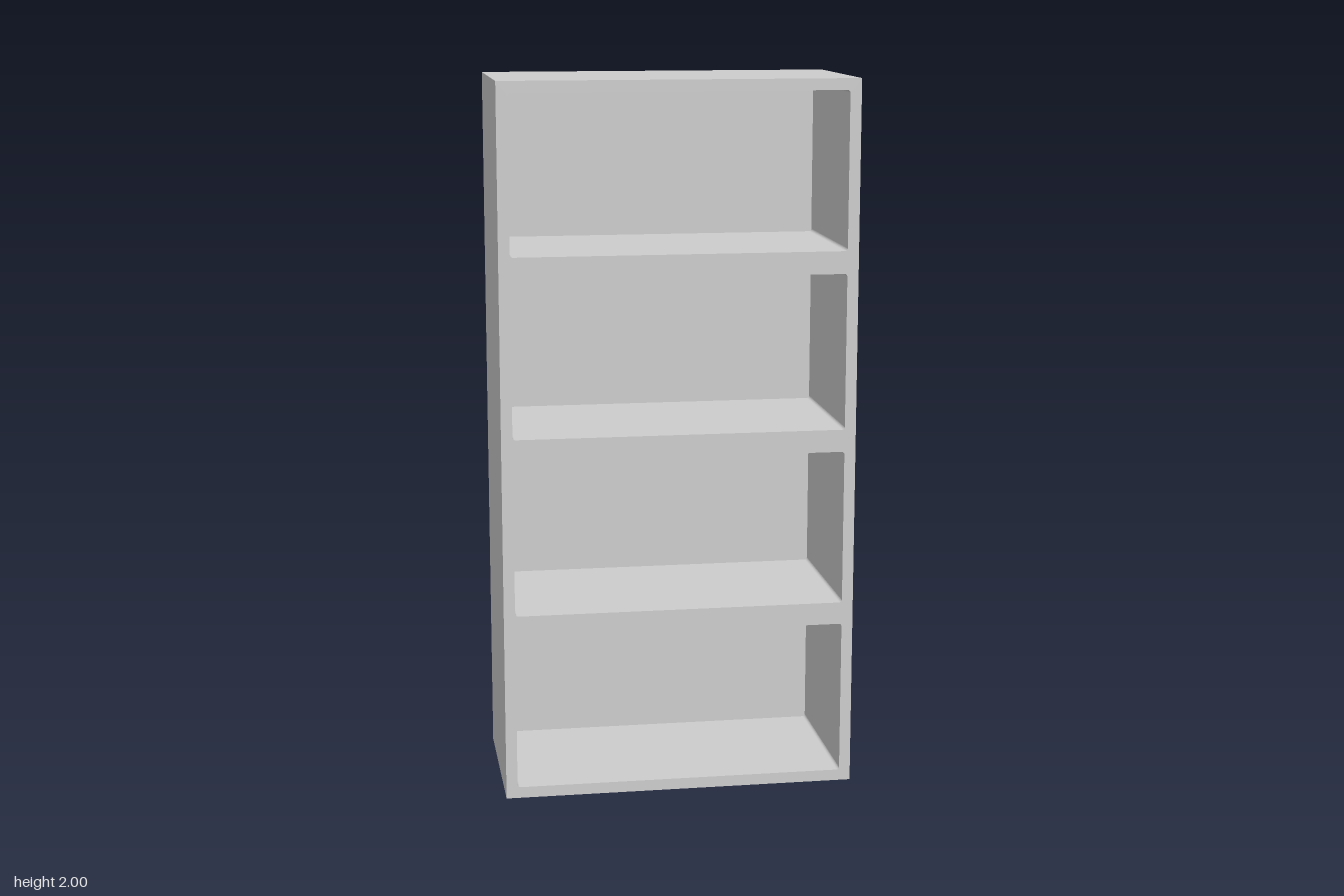
import * as THREE from 'three';

const WIDTH = 0.99, HEIGHT = 2, DEPTH = 0.495;
const BOARD = 0.0315; // margin round each opening
const BACK = 0.031;   // back panel thickness
const BAYS = 4;

// Rectangular opening with slightly rounded corners
function openingPath(x0, y0, x1, y1, r) {
  const p = new THREE.Path();
  p.moveTo(x0 + r, y0);
  p.lineTo(x1 - r, y0);
  p.absarc(x1 - r, y0 + r, r, -Math.PI / 2, 0, false);
  p.lineTo(x1, y1 - r);
  p.absarc(x1 - r, y1 - r, r, 0, Math.PI / 2, false);
  p.lineTo(x0 + r, y1);
  p.absarc(x0 + r, y1 - r, r, Math.PI / 2, Math.PI, false);
  p.lineTo(x0, y0 + r);
  p.absarc(x0 + r, y0 + r, r, Math.PI, Math.PI * 1.5, false);
  return p;
}

export function createModel() {
  const group = new THREE.Group();
  group.name = 'bookcase';
  const grey = new THREE.MeshStandardMaterial({ color: 0xcccccc });
  grey.name = 'light grey';

  // Frame: sides, top, base and shelves in one piece, pierced by the bays
  const w = WIDTH / 2;
  const outline = new THREE.Shape([
    new THREE.Vector2(-w, 0), new THREE.Vector2(w, 0),
    new THREE.Vector2(w, HEIGHT), new THREE.Vector2(-w, HEIGHT),
  ]);
  const pitch = HEIGHT / BAYS;
  for (let i = 0; i < BAYS; i++) {
    outline.holes.push(openingPath(
      -w + BOARD, i * pitch + BOARD, w - BOARD, (i + 1) * pitch - BOARD, 0.008));
  }
  const frame = new THREE.Mesh(new THREE.ExtrudeGeometry(outline, {
    depth: DEPTH - BACK, bevelEnabled: false, curveSegments: 4,
  }), grey);
  frame.name = 'shelfFrame';
  frame.position.z = -DEPTH / 2 + BACK;
  group.add(frame);

  // Back panel closing the bays
  const back = new THREE.Mesh(new THREE.BoxGeometry(WIDTH, HEIGHT, BACK), grey);
  back.name = 'backPanel';
  back.position.set(0, HEIGHT / 2, -DEPTH / 2 + BACK / 2);
  group.add(back);

  return group;
}
